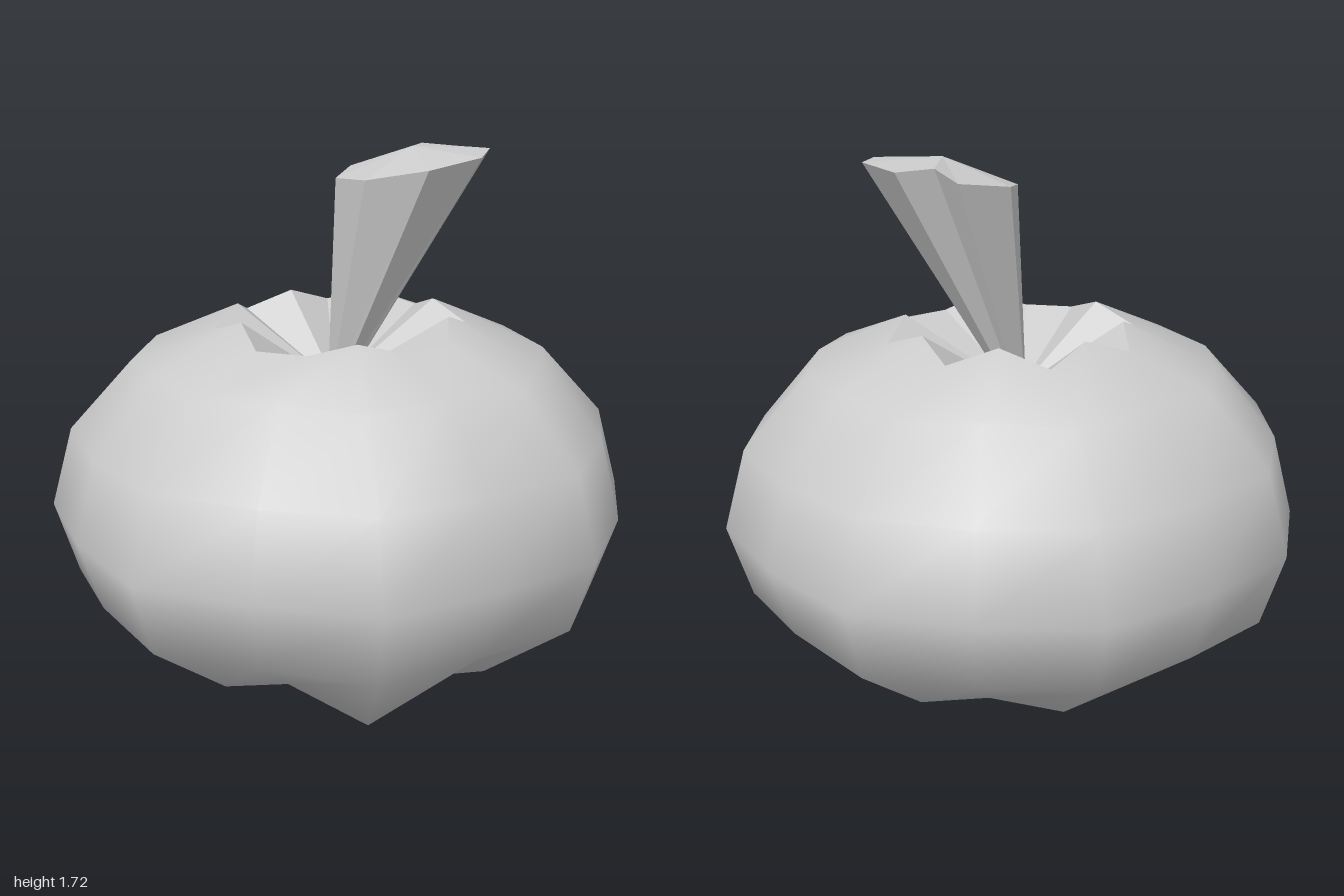
import * as THREE from 'three';

const SIDES = 16;

// Skin over a list of rings (each an array of [x, y, z], bottom to top).
// Rings with a single point act as poles.
function loft(rings, flat, name) {
  const pos = [], index = [], start = [];
  for (const ring of rings) {
    start.push(pos.length / 3);
    for (const p of ring) pos.push(...p);
  }
  for (let j = 0; j < rings.length - 1; j++) {
    const n = Math.max(rings[j].length, rings[j + 1].length);
    const at = (k, i) => start[k] + (i % rings[k].length);
    for (let i = 0; i < n; i++) {
      const a = at(j, i), b = at(j, i + 1), c = at(j + 1, i + 1), d = at(j + 1, i);
      if (a !== b) index.push(a, b, c);
      if (c !== d) index.push(a, c, d);
    }
  }
  const geo = new THREE.BufferGeometry();
  geo.setAttribute('position', new THREE.Float32BufferAttribute(pos, 3));
  geo.setIndex(index);
  geo.computeVertexNormals();
  const mesh = new THREE.Mesh(geo, new THREE.MeshStandardMaterial({
    color: 0xcccccc, flatShading: flat, side: THREE.DoubleSide,
  }));
  mesh.name = name;
  return mesh;
}

// One ring of the fruit, alternating ribs (even) and grooves (odd); i = 0 is the front rib
function ribRing([ribR, ribY, grooveR, grooveY]) {
  return Array.from({ length: SIDES }, (_, i) => {
    const a = (i / SIDES) * Math.PI * 2;
    const odd = i % 2 === 1;
    let r = odd ? grooveR : ribR, y = odd ? grooveY : ribY;
    // the front rib stands out more sharply, between deeper grooves
    if (i === 1 || i === SIDES - 1) r *= 0.98;
    if (i === 0 && ribY < 0.1) r += 0.11;
    return [r * Math.sin(a), y, r * Math.cos(a)];
  });
}

export function createModel() {
  const model = new THREE.Group();

  // Rim of the hollow: grooves rise above the ribs, reversed at the front
  const rim = ribRing([0.43, 1.12, 0.37, 1.175]);
  rim[0][1] = 1.165;
  for (const i of [1, SIDES - 1]) {
    rim[i] = [Math.sign(rim[i][0]) * 0.15, 1.12, 0.38];
  }

  // Body: [rib radius, rib height, groove radius, groove height]
  const profile = [
    [0.61, 0.02, 0.63, 0.095],
    [0.92, 0.27, 0.885, 0.28],
    [0.995, 0.52, 0.96, 0.52],
    [0.92, 0.79, 0.89, 0.79],
    [0.705, 1.025, 0.68, 1.04],
  ];
  model.add(loft([[[0, 0, 0]], ...profile.map(ribRing), rim], false, 'body'));

  // Pleated hollow around the stem
  model.add(loft([rim, [[-0.02, 0.92, 0]]], true, 'stemHollow'));

  // Stem: tapered and leaning, with a slightly domed cut end
  const top = [
    [-0.02, 1.62, 0.02], [0.05, 1.635, 0.21], [0.24, 1.67, 0.28],
    [0.42, 1.7, 0.21], [0.49, 1.71, 0.02], [0.42, 1.7, -0.16],
    [0.3, 1.71, -0.18], [0.24, 1.67, -0.24], [0.05, 1.64, -0.15],
  ];
  const foot = top.map(([x, , z]) => [-0.02 + (x - 0.235) * 0.1, 0.9, (z - 0.02) * 0.1]);
  model.add(loft([foot, top, [[0.23, 1.72, 0.02]]], true, 'stem'));

  return model;
}
